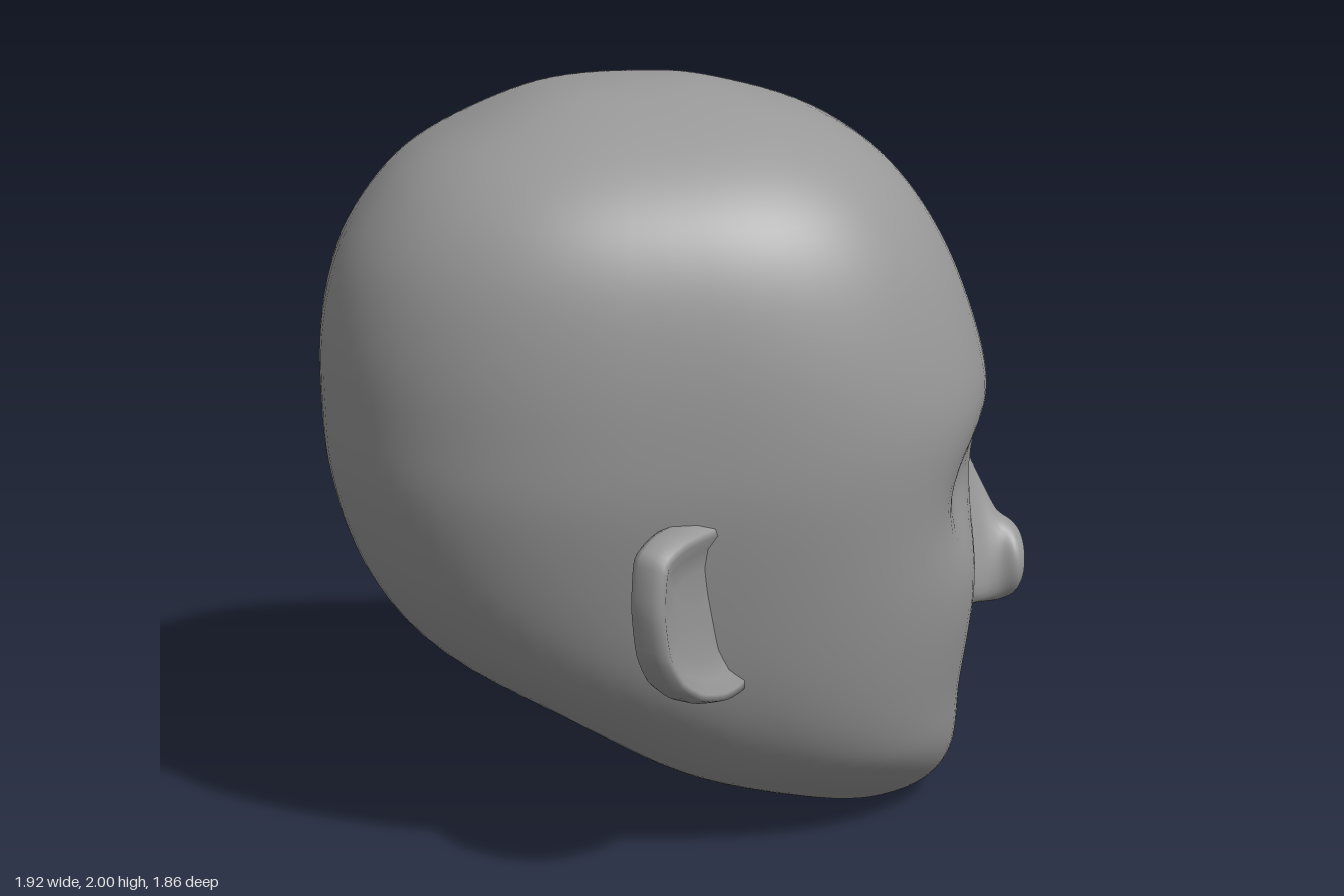
import * as THREE from 'three';

const material = new THREE.MeshStandardMaterial({ color: 0x989898 });

// Smooth surface through closed rings of points; both ends are capped.
function loft(rings, mirror = false) {
  const n = rings[0].length, pos = [], idx = [];
  const mid = (r) => r.reduce((s, p) => s.add(p), new THREE.Vector3()).divideScalar(n);
  const put = (p) => pos.push(p.x, p.y, mirror ? -p.z : p.z);
  const tri = (a, b, c) => (mirror ? idx.push(a, c, b) : idx.push(a, b, c));
  rings.forEach((r) => r.forEach(put));
  put(mid(rings[0]));
  put(mid(rings[rings.length - 1]));
  const first = rings.length * n, top = (rings.length - 1) * n;
  for (let i = 0; i < n; i++) {
    const j = (i + 1) % n;
    for (let k = 0; k < top; k += n) {
      tri(k + i, k + j, k + n + j);
      tri(k + i, k + n + j, k + n + i);
    }
    tri(first, j, i);
    tri(first + 1, top + i, top + j);
  }
  const g = new THREE.BufferGeometry();
  g.setAttribute('position', new THREE.Float32BufferAttribute(pos, 3));
  g.setIndex(idx);
  g.computeVertexNormals();
  return g;
}

// Resample rows of four numbers along smooth curves, then even out the bends.
function resample(rows, steps, passes) {
  const curve = (f) => new THREE.CatmullRomCurve3(rows.map(f), false, 'catmullrom', 0.45);
  const a = curve((r) => new THREE.Vector3(r[0], r[1], r[2]));
  const b = curve((r) => new THREE.Vector3(r[3], 0, 0));
  let out = Array.from({ length: steps + 1 }, (_, i) => [...a.getPoint(i / steps).toArray(), b.getPoint(i / steps).x]);
  for (let k = 0; k < passes; k++) {
    out = out.map((r, i) => (i === 0 || i === steps ? r
      : r.map((v, c) => (out[i - 1][c] + 2 * v + out[i + 1][c]) / 4)));
  }
  return out;
}

const angles = (count) => Array.from({ length: count }, (_, i) => (i / count) * Math.PI * 2);

// Head sections: [height, back x, front x, half width]
const headRows = [
  [0.003, 0.42, 0.53, 0.07], [0.006, 0.35, 0.59, 0.15], [0.04, 0.16, 0.70, 0.215], [0.13, -0.08, 0.755, 0.375],
  [0.23, -0.24, 0.765, 0.51], [0.36, -0.44, 0.765, 0.60], [0.53, -0.715, 0.785, 0.67],
  [0.75, -0.875, 0.80, 0.722], [1.0, -0.95, 0.808, 0.77], [1.17, -0.96, 0.818, 0.778],
  [1.35, -0.96, 0.775, 0.774], [1.55, -0.915, 0.70, 0.745], [1.70, -0.825, 0.61, 0.685],
  [1.82, -0.71, 0.50, 0.575], [1.92, -0.52, 0.33, 0.41], [1.98, -0.36, 0.11, 0.23],
  [1.998, -0.18, 0.02, 0.10], [2.0, -0.12, -0.04, 0.04],
];

// Skull of superelliptic sections, with eye sockets pressed into the face.
function headGeometry() {
  const bump = (d, s) => Math.exp(-((d / s) ** 2));
  const rings = resample(headRows, 85, 5).map(([y, back, front, width]) => {
    const power = 2.2 + 0.4 * THREE.MathUtils.smoothstep(y, 0.15, 0.8);
    const bend = (v) => Math.sign(v) * Math.abs(v) ** (2 / power);
    return angles(88).map((t) => {
      const x = (back + front) / 2 + ((front - back) / 2) * bend(Math.cos(t));
      const z = -width * bend(Math.sin(t));
      const socket = x > 0.3 ? 0.085 * bump(Math.abs(z) - 0.32, 0.21) * bump(y - 0.95, 0.17) : 0;
      return new THREE.Vector3(x - socket, y, z);
    });
  });
  return loft(rings);
}

// Nose sections from the face forwards: [x, bottom, top, half width]
const noseRows = [
  [0.70, 0.49, 1.14, 0.20], [0.765, 0.525, 1.03, 0.165], [0.80, 0.54, 0.94, 0.148], [0.84, 0.535, 0.86, 0.115],
  [0.88, 0.53, 0.785, 0.10], [0.92, 0.54, 0.755, 0.104], [0.945, 0.575, 0.725, 0.08], [0.955, 0.63, 0.68, 0.03],
];

// Teardrop sections: wide nostrils below, a narrow bridge above, a round tip.
function noseGeometry() {
  return loft(resample(noseRows, 35, 2).map(([x, low, high, width]) => {
    const tip = THREE.MathUtils.smoothstep(x, 0.8, 0.92);
    return angles(36).map((t) => {
      const s = ((1 - Math.sin(t)) / 2) ** (2 - tip);
      return new THREE.Vector3(x, low + (high - low) * s, width * Math.cos(t) * (1 - 0.55 * s * (1 - tip)));
    });
  }));
}

// Shallow cupped ear plate that leans backwards and thickens towards the head.
function earGeometry(mirror) {
  const outline = [
    [-0.14, 0.55], [-0.03, 0.51], [0.09, 0.54], [0.18, 0.60], [0.242, 0.69],
    [0.268, 0.82], [0.252, 0.95], [0.16, 0.985], [0.0, 0.99], [-0.14, 0.95],
  ].map(([u, v]) => new THREE.Vector3(u, v, 0));
  const points = new THREE.CatmullRomCurve3(outline, true, 'catmullrom', 0.3).getPoints(40).slice(0, -1);
  const out = new THREE.Vector3(-0.613, 0, 0.79), back = new THREE.Vector3(-0.79, 0, -0.613);
  // [scale, depth] from the hollow in front over the rim to the back
  const steps = [[0.15, -0.02], [0.5, -0.022], [0.72, -0.03], [0.87, -0.045], [0.95, -0.043],
    [1, -0.02], [1, 0.02], [0.95, 0.04], [0.8, 0.047], [0.2, 0.047]];
  return loft(steps.map(([s, depth]) => points.map((p) => {
    const u = 0.07 + (p.x - 0.07) * s, v = 0.76 + (p.y - 0.76) * s;
    return new THREE.Vector3(-0.025, v, 0.70).addScaledVector(out, u)
      .addScaledVector(back, depth * (1 + 1.8 * (0.26 - u)));
  })), mirror);
}

export function createModel() {
  const model = new THREE.Group();
  const add = (name, geometry) => {
    const mesh = new THREE.Mesh(geometry, material);
    mesh.name = name;
    model.add(mesh);
  };
  add('head', headGeometry());
  add('nose', noseGeometry());
  add('rightEar', earGeometry(false));
  add('leftEar', earGeometry(true));
  return model;
}
